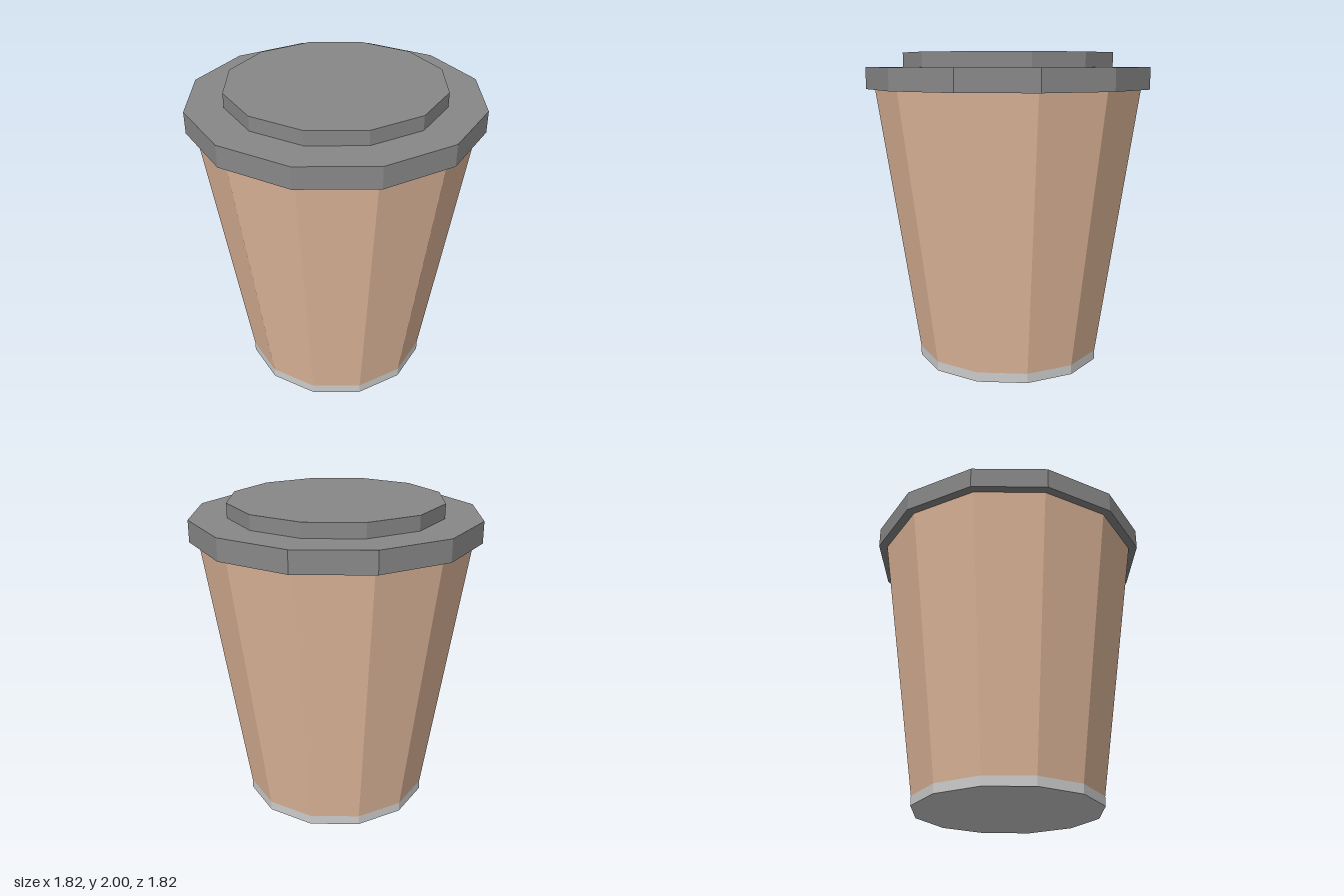
import * as THREE from 'three';

const SIDES = 12;

export function createModel() {
  const cup = new THREE.Group();
  cup.name = 'takeawayCup';

  // Stacks a flat-shaded, twelve-sided ring between two heights
  const addSection = (name, color, bottomRadius, topRadius, y0, y1, open = false) => {
    const geometry = new THREE.CylinderGeometry(topRadius, bottomRadius, y1 - y0, SIDES, 1, open);
    const material = new THREE.MeshStandardMaterial({ color, flatShading: true });
    const mesh = new THREE.Mesh(geometry, material);
    mesh.name = name;
    mesh.position.y = (y0 + y1) / 2;
    cup.add(mesh);
  };

  // Foot and tapered body; the body is closed off by foot and lid
  addSection('base', 0xcccccc, 0.6, 0.6, 0, 0.06);
  addSection('body', 0xe2b99c, 0.6, 0.855, 0.06, 1.775, true);

  // Lid: wide rim with a smaller raised top
  addSection('lidRim', 0x888888, 0.91, 0.91, 1.775, 1.91);
  addSection('lidTop', 0x888888, 0.677, 0.677, 1.91, 2);

  return cup;
}
